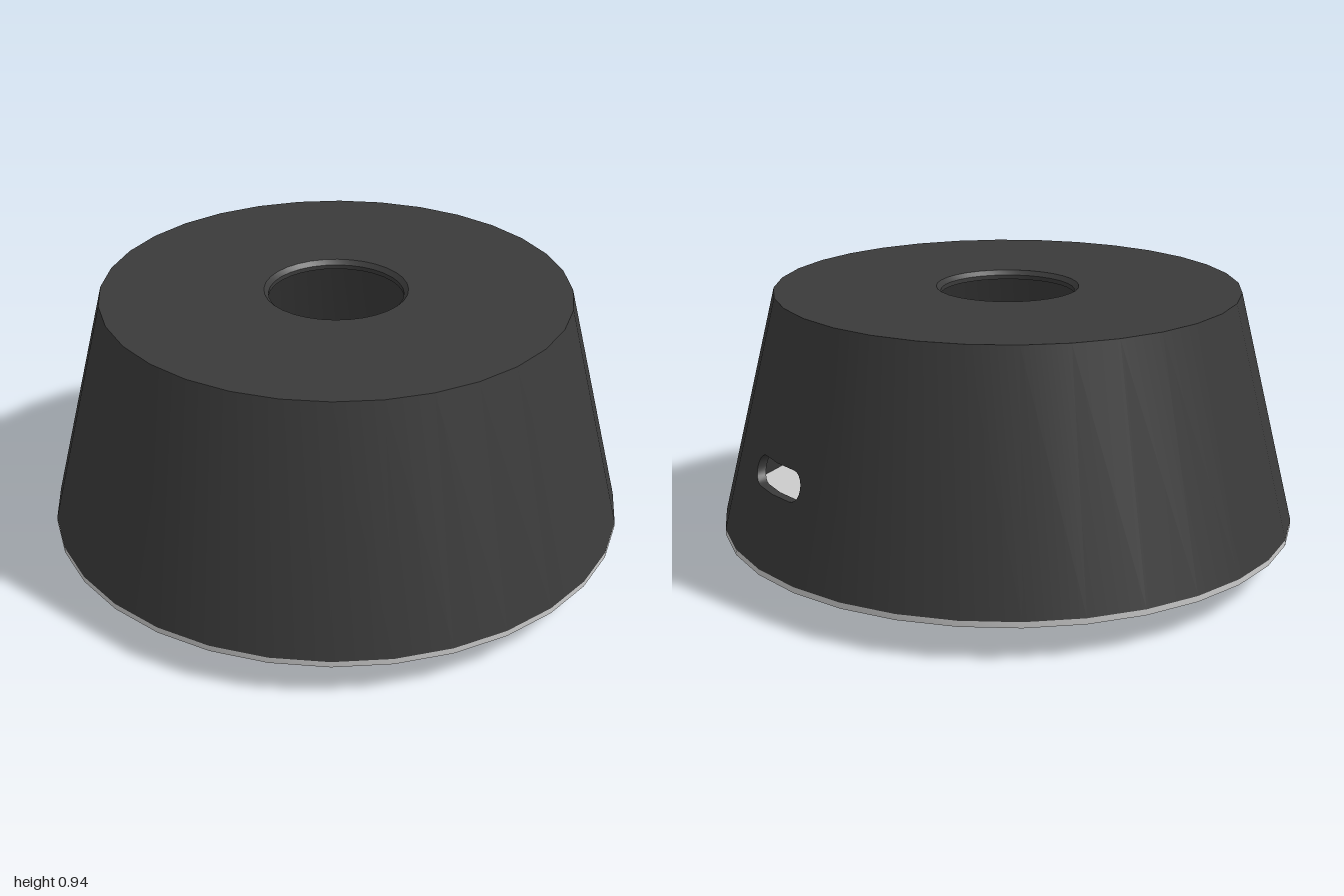
import * as THREE from 'three';
import { mergeGeometries, toCreasedNormals } from 'three/addons/utils/BufferGeometryUtils.js';

const SEG = 32;
const STEP = (Math.PI * 2) / SEG;
const Y0 = 0.135, Y1 = 0.94, WALL = 0.03;
const radiusAt = (y) => THREE.MathUtils.lerp(1, 0.8, (y - Y0) / (Y1 - Y0));

const lathe = (points, start = 0, length = Math.PI * 2, seg = SEG) =>
  new THREE.LatheGeometry(points.map(([r, y]) => new THREE.Vector2(r, y)), seg, start, length).toNonIndexed();

function part(name, geometry, color) {
  const mesh = new THREE.Mesh(
    toCreasedNormals(geometry, 0.35),
    new THREE.MeshStandardMaterial({ color, side: THREE.DoubleSide })
  );
  mesh.name = name;
  return mesh;
}

// One wall facet beside the +x axis, with half of the rounded slot cut out of it
function slotFacet(side) {
  const width = Math.sin(STEP), slotY = 0.43, r = 0.05, half = 0.14 / 0.93;
  const shape = new THREE.Shape();
  shape.moveTo(0, Y0);
  shape.lineTo(side * width, Y0);
  shape.lineTo(side * width, Y1);
  shape.lineTo(0, Y1);
  shape.lineTo(0, slotY + r);
  for (let i = 0; i <= 10; i++) {
    const a = Math.PI / 2 - (i / 10) * Math.PI;
    shape.lineTo(side * (half - r + r * Math.cos(a)), slotY + r * Math.sin(a));
  }
  shape.lineTo(0, slotY - r);
  const geo = new THREE.ExtrudeGeometry(shape, { depth: WALL, bevelEnabled: false });
  // Lean the flat panel onto the chord of the cone
  const p = geo.attributes.position;
  for (let i = 0; i < p.count; i++) {
    const u = p.getX(i), y = p.getY(i);
    const radius = radiusAt(y) - WALL + p.getZ(i);
    const t = Math.abs(u) / width;
    p.setXYZ(i, radius * (1 - t * (1 - Math.cos(STEP))), y, -radius * u);
  }
  return geo;
}

export function createModel() {
  const model = new THREE.Group();
  model.name = 'dock';

  // Tapered hollow wall, left open at +x for the two slotted facets
  const wall = lathe(
    [[1 - WALL, Y0], [1, Y0], [0.8, Y1], [0.8 - WALL, Y1], [1 - WALL, Y0]],
    Math.PI / 2 + STEP, Math.PI * 2 - 2 * STEP, SEG - 2
  );
  model.add(part('bodyWall', mergeGeometries([wall, slotFacet(1), slotFacet(-1)]), 0x3a3a3a));

  // Top plate with a chamfered round opening
  model.add(part('topPlate', lathe([
    [0.23, 0.91], [0.775, 0.91], [0.775, Y1], [0.245, Y1], [0.23, 0.925], [0.23, 0.91],
  ]), 0x3a3a3a));

  // Pale base, whose upper face is the floor inside the body
  model.add(part('base', lathe([
    [0, 0.055], [0.8, 0.055], [1, 0.115], [1, Y0], [0, Y0],
  ]), 0xcccccc));

  // Dark foot pad
  model.add(part('footPad', lathe([[0, 0], [0.745, 0], [0.745, 0.055], [0, 0.055]]), 0x060606));

  return model;
}
